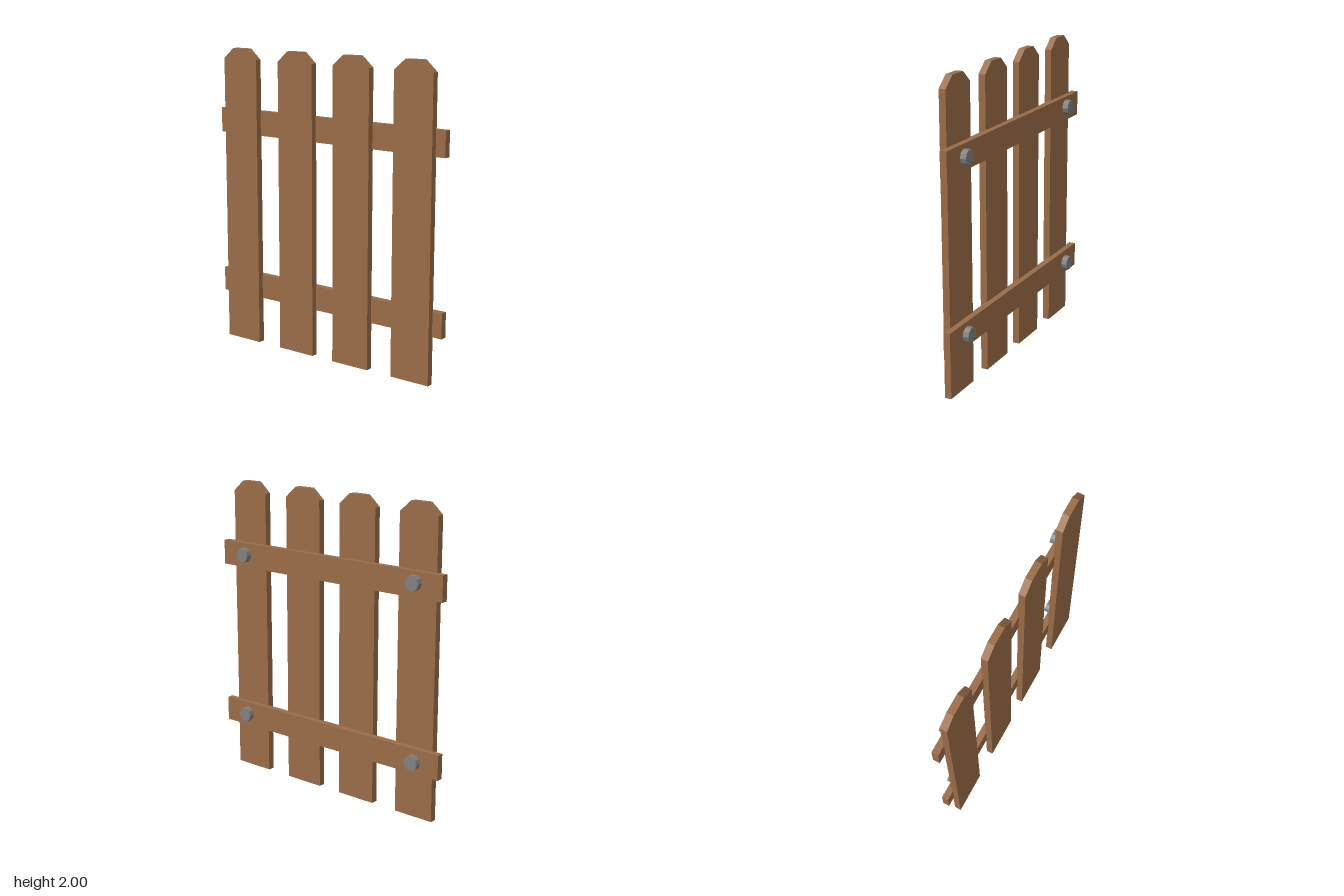
import * as THREE from 'three';

export function createModel() {
  const model = new THREE.Group();
  model.name = 'picketFence';
  const wood = new THREE.MeshStandardMaterial({ color: 0x9a6c48, flatShading: true });
  const metal = new THREE.MeshStandardMaterial({ color: 0x808080, flatShading: true });

  const add = (name, geometry, material, x, y, z) => {
    const mesh = new THREE.Mesh(geometry, material);
    mesh.name = name;
    mesh.position.set(x, y, z);
    model.add(mesh);
  };

  // Pickets: board outline with clipped top corners, extruded through x
  const half = 0.14, thickness = 0.045;
  const outline = new THREE.Shape([
    [-half, 0], [half, 0], [half, 1.93], [0.06, 2], [-0.06, 2], [-half, 1.93],
  ].map(([u, v]) => new THREE.Vector2(u, v)));
  const picket = new THREE.ExtrudeGeometry(outline, { depth: thickness, bevelEnabled: false });
  picket.translate(0, 0, -thickness / 2).rotateY(Math.PI / 2);
  [0.687, 0.224, -0.222, -0.687].forEach((z, i) => add(`picket${i + 1}`, picket, wood, -0.0405, 0, z));

  // Horizontal rails
  const rail = new THREE.BoxGeometry(0.045, 0.164, 1.79);
  add('upperRail', rail, wood, -0.0015, 1.509, 0);
  add('lowerRail', rail, wood, -0.0015, 0.389, 0);

  // Bolt heads near the rail ends
  const bolt = new THREE.CylinderGeometry(0.049, 0.049, 0.05, 10);
  bolt.rotateZ(-Math.PI / 2);
  [[1.513, 0.696], [1.522, -0.698], [0.393, 0.696], [0.386, -0.714]]
    .forEach(([y, z], i) => add(`bolt${i + 1}`, bolt, metal, 0.036, y, z));

  return model;
}
